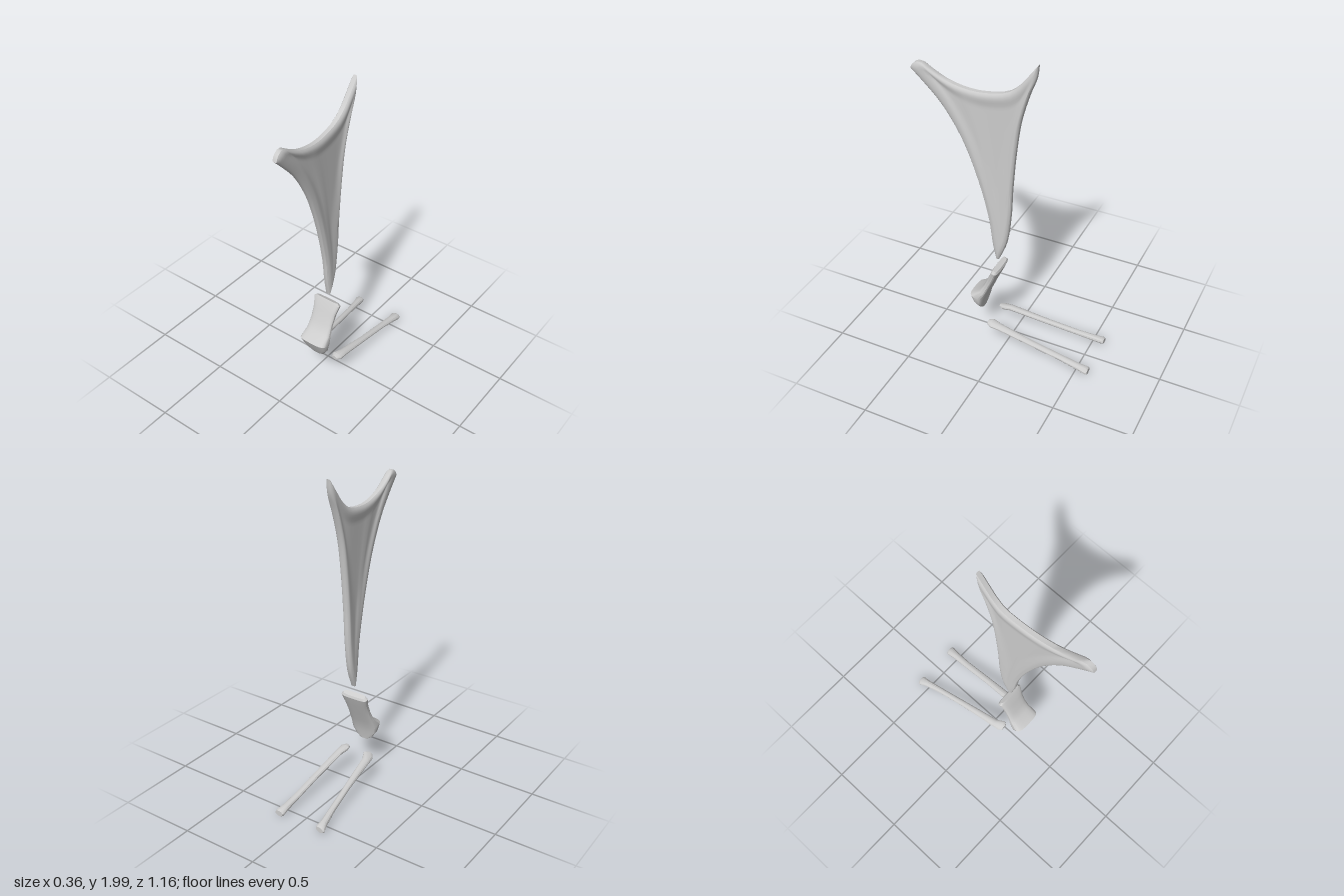
import * as THREE from 'three';
import { toCreasedNormals } from 'three/addons/utils/BufferGeometryUtils.js';

const bone = new THREE.MeshStandardMaterial({ color: 0xcccccc });
bone.name = 'bone grey';

// Closed skin over a list of equal rings; ends are closed by pairing opposite ring points.
function loft(name, rings, crease = 0.6) {
  const n = rings[0].length, pos = rings.flat().flatMap(p => [p.x, p.y, p.z]), idx = [];
  const quad = (a, b, c, d) => idx.push(a, b, c, a, c, d);
  for (let r = 0; r < rings.length - 1; r++)
    for (let i = 0; i < n; i++) {
      const j = (i + 1) % n;
      quad(r * n + i, r * n + j, (r + 1) * n + j, (r + 1) * n + i);
    }
  const last = (rings.length - 1) * n;
  for (let i = 0; i < n / 2 - 1; i++) {
    const a = i, b = i + 1, c = n - 2 - i, d = n - 1 - i;
    quad(a, d, c, b);
    quad(last + a, last + b, last + c, last + d);
  }
  // Turn the skin outward if its enclosed volume comes out negative
  const P = rings.flat();
  let volume = 0;
  for (let i = 0; i < idx.length; i += 3)
    volume += P[idx[i]].dot(P[idx[i + 1]].clone().cross(P[idx[i + 2]]));
  if (volume < 0) idx.reverse();
  const g = new THREE.BufferGeometry();
  g.setAttribute('position', new THREE.Float32BufferAttribute(pos, 3));
  g.setIndex(idx);
  const mesh = new THREE.Mesh(toCreasedNormals(g, crease), bone);
  mesh.name = name;
  return mesh;
}

// Smooth curve in the side plane through [z, y] pairs
const sideCurve = pts => new THREE.CatmullRomCurve3(pts.map(([z, y]) => new THREE.Vector3(0, y, z)), false, 'centripetal');

// Tall three-cornered blade: a patch between four edge curves, thick at the rims
function blade() {
  const front = sideCurve([[0.085, 0.635], [0.105, 0.74], [0.127, 0.92], [0.19, 1.185], [0.285, 1.45], [0.40, 1.65], [0.51, 1.775], [0.58, 1.845]]);
  const back = sideCurve([[0.068, 0.635], [0.02, 0.76], [-0.01, 0.975], [-0.02, 1.16], [-0.045, 1.435], [-0.075, 1.635], [-0.125, 1.81], [-0.165, 1.92], [-0.175, 2]]);
  const top = sideCurve([[0.58, 1.845], [0.565, 1.875], [0.525, 1.895], [0.456, 1.855], [0.36, 1.805], [0.245, 1.775], [0.14, 1.772], [0.005, 1.80], [-0.06, 1.85], [-0.10, 1.90], [-0.175, 2]]);
  const f0 = front.getPointAt(0), f1 = front.getPointAt(1), b0 = back.getPointAt(0), b1 = back.getPointAt(1);
  const NU = 28, NV = 40, rings = [];
  const step = THREE.MathUtils.smoothstep;
  for (let k = 0; k <= NV; k++) {
    const v = 1 - Math.pow(1 - k / NV, 1.4);
    const F = front.getPointAt(v), B = back.getPointAt(v), near = [], far = [];
    for (let i = 0; i <= NU; i++) {
      const u = 0.5 - 0.5 * Math.cos(Math.PI * i / NU);
      const p = F.clone().lerp(B, u)
        .addScaledVector(f0.clone().lerp(b0, u), 1 - v)
        .addScaledVector(top.getPointAt(u), v)
        .sub(f0.clone().lerp(b0, u).multiplyScalar(1 - v))
        .sub(f1.clone().lerp(b1, u).multiplyScalar(v));
      // Rounded edges, raised rims, thinner web with a shallow diagonal ridge
      const width = F.distanceTo(B);
      const d = Math.min(u * width, (1 - u) * width, (1 - v) * 1.3 + 0.004);
      const round = Math.sqrt(Math.min(1, d / 0.03));
      const web = step(d, 0.04, 0.12);
      const ridge = 0.004 * Math.exp(-(((u - 0.38) / 0.05) ** 2)) * web;
      const t = 0.007 + 0.017 * round - 0.009 * web + ridge;
      const cx = 0.053 + 0.09 * Math.max(0, p.z);
      near.push(new THREE.Vector3(cx + t, p.y, p.z));
      far.unshift(new THREE.Vector3(cx - t, p.y, p.z));
    }
    rings.push([...near, ...far]);
  }
  return loft('blade', rings, 0.7);
}

// Waisted block: rows of front z, y, back z, y and half width
function block() {
  const rows = [
    [0.085, 0.585, 0.055, 0.57, 0.08], [0.094, 0.57, 0.05, 0.555, 0.095], [0.12, 0.51, 0.072, 0.50, 0.082],
    [0.15, 0.44, 0.105, 0.43, 0.079], [0.185, 0.38, 0.132, 0.365, 0.084], [0.25, 0.338, 0.153, 0.315, 0.095],
    [0.226, 0.288, 0.165, 0.27, 0.087], [0.20, 0.238, 0.174, 0.232, 0.058], [0.185, 0.212, 0.178, 0.21, 0.025],
  ];
  const n = 20;
  const rings = rows.map(([zf, yf, zb, yb, w]) => Array.from({ length: n }, (_, i) => {
    const a = (i + 0.5) / n * Math.PI * 2, s = Math.sin(a), c = Math.cos(a);
    const e = x => Math.sign(x) * Math.pow(Math.abs(x), 0.6);
    const m = 0.5 + 0.5 * e(s);
    return new THREE.Vector3(0.05 + w * e(c), yb + (yf - yb) * m, zb + (zf - zb) * m);
  }));
  return loft('block', rings, 0.55);
}

// Slender rod with flared ends: rows of x, y, z, half width, half height, tilt
function rod(name, rows) {
  const n = 12;
  const rings = rows.map(([x, y, z, w, h, tilt]) => Array.from({ length: n }, (_, i) => {
    const a = (i + 0.5) / n * Math.PI * 2;
    const px = w * Math.cos(a), py = h * Math.sin(a);
    return new THREE.Vector3(x + px * Math.cos(tilt) - py * Math.sin(tilt), y + px * Math.sin(tilt) + py * Math.cos(tilt), z);
  }));
  return loft(name, rings, 0.5);
}

export function createModel() {
  const model = new THREE.Group();
  model.name = 'boneSet';
  model.add(blade(), block(),
    rod('rightRod', [
      [-0.042, 0.158, 0.112, 0.022, 0.012, 0.35], [-0.042, 0.156, 0.09, 0.037, 0.018, 0.35],
      [-0.058, 0.148, 0.04, 0.027, 0.018, 0.3], [-0.088, 0.1, -0.2, 0.02, 0.017, 0.2],
      [-0.118, 0.06, -0.4, 0.019, 0.017, 0.2], [-0.14, 0.036, -0.52, 0.024, 0.021, 0.3],
      [-0.15, 0.028, -0.565, 0.032, 0.021, 0.3], [-0.15, 0.027, -0.575, 0.026, 0.017, 0.3],
    ]),
    rod('leftRod', [
      [0.135, 0.158, 0.112, 0.02, 0.012, -0.15], [0.137, 0.155, 0.085, 0.034, 0.02, -0.15],
      [0.142, 0.147, 0.03, 0.027, 0.018, -0.1], [0.145, 0.1, -0.2, 0.022, 0.017, 0],
      [0.143, 0.06, -0.4, 0.022, 0.017, 0], [0.146, 0.036, -0.52, 0.025, 0.021, 0],
      [0.147, 0.028, -0.57, 0.032, 0.023, 0], [0.147, 0.027, -0.582, 0.027, 0.018, 0],
    ]));
  return model;
}
